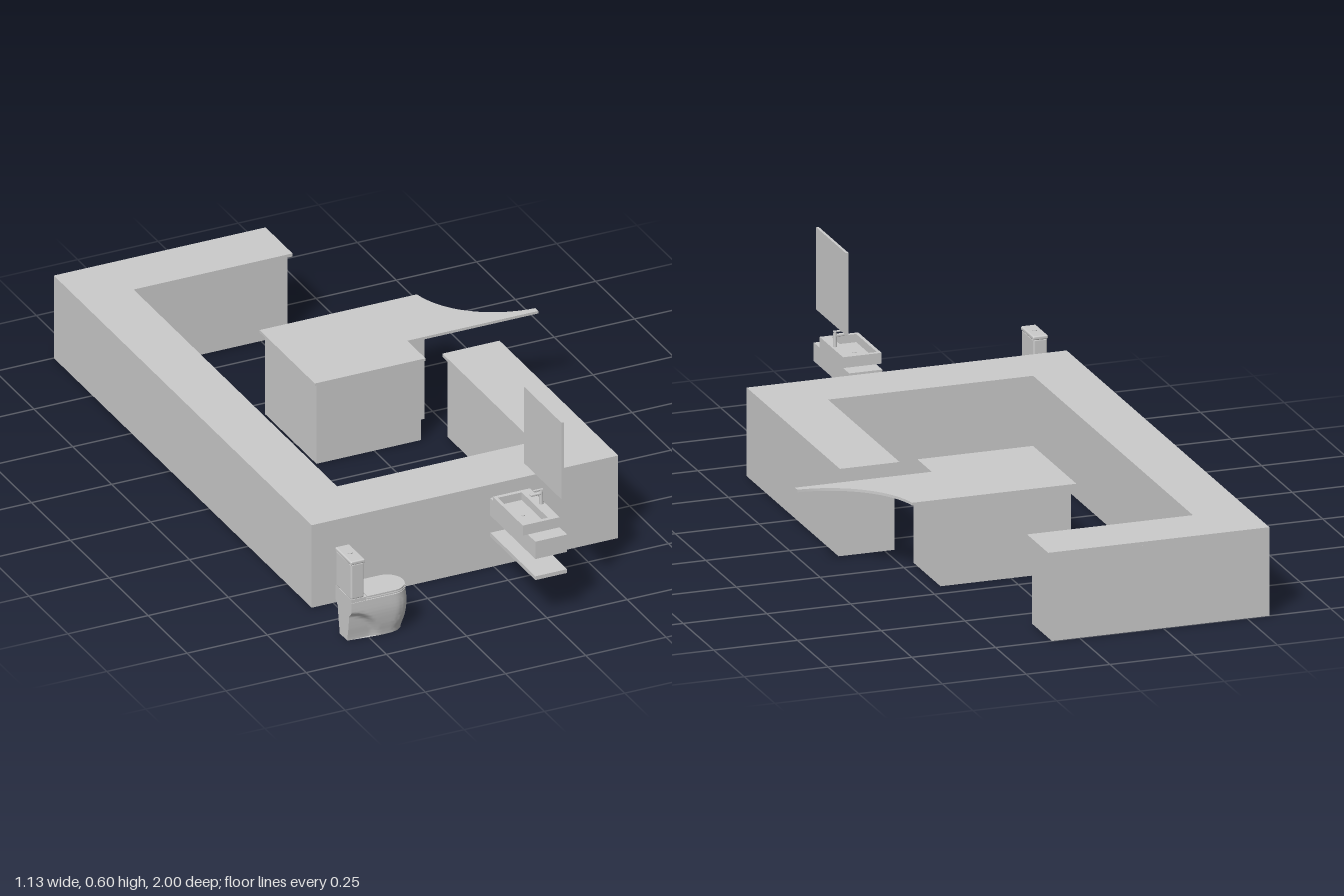
import * as THREE from 'three';
import { RoundedBoxGeometry } from 'three/addons/geometries/RoundedBoxGeometry.js';
import { toCreasedNormals } from 'three/addons/utils/BufferGeometryUtils.js';

const grey = new THREE.MeshStandardMaterial({ color: 0xcccccc, side: THREE.DoubleSide });

function add(parent, name, geometry) {
  const mesh = new THREE.Mesh(geometry, grey);
  mesh.name = name;
  parent.add(mesh);
  return mesh;
}

// Box from its minimum and maximum corners, optionally rounded
function box(parent, name, [x0, y0, z0], [x1, y1, z1], radius = 0) {
  const size = [x1 - x0, y1 - y0, z1 - z0];
  const geo = radius ? new RoundedBoxGeometry(...size, 4, radius) : new THREE.BoxGeometry(...size);
  return add(parent, name, geo.translate((x0 + x1) / 2, (y0 + y1) / 2, (z0 + z1) / 2));
}

// Plan outline drawn in (x, z), extruded upwards from y0 to y1
function slab(parent, name, shape, y0, y1) {
  const geo = new THREE.ExtrudeGeometry(shape, { depth: y1 - y0, bevelEnabled: false, curveSegments: 20 });
  geo.rotateX(-Math.PI / 2).translate(0, y0, 0);
  return add(parent, name, toCreasedNormals(geo, 0.5));
}

// Shape from [x, z] points; z is negated so that the extrusion rises along +y
const plan = (points) => new THREE.Shape(points.map(([x, z]) => new THREE.Vector2(x, -z)));

function rectangle(Type, x0, x1, z0, z1) {
  const r = new Type();
  r.moveTo(x0, -z0).lineTo(x0, -z1).lineTo(x1, -z1).lineTo(x1, -z0).closePath();
  return r;
}

// Wrap-around counter; i is the inset of the inner edges and free ends
const counterPlan = (i) => plan([
  [-0.567, -1], [0.093 - i, -1], [0.093 - i, -0.827 - i], [-0.402 - i, -0.827 - i],
  [-0.402 - i, 0.48 + i], [0.21 + i, 0.48 + i], [0.21 + i, -0.105 + i],
  [0.388, -0.105 + i], [0.388, 0.658], [-0.567, 0.658],
]);

function createCounter() {
  const g = new THREE.Group();
  g.name = 'counter';
  slab(g, 'counterBase', counterPlan(0.011), 0, 0.252);
  slab(g, 'counterTop', counterPlan(0), 0.252, 0.262);
  return g;
}

function createIsland() {
  const g = new THREE.Group();
  g.name = 'island';
  slab(g, 'islandBase', plan([
    [-0.18, -0.44], [0.21, -0.44], [0.21, -0.22], [0.145, -0.22], [0.145, -0.11], [-0.18, -0.11],
  ]), 0, 0.254);
  // Top with a concave sweep running out to a thin tip
  const top = new THREE.Shape();
  top.moveTo(-0.19, 0.455).lineTo(-0.19, 0.1).lineTo(0.155, 0.1).lineTo(0.155, 0.217)
    .lineTo(0.563, 0.217).lineTo(0.563, 0.236);
  top.bezierCurveTo(0.43, 0.243, 0.32, 0.33, 0.3, 0.455);
  top.closePath();
  slab(g, 'islandTop', top, 0.254, 0.262);
  return g;
}

// D-shaped outline: straight sides from the back, half-round front
function dShape(back, front, half) {
  const s = new THREE.Shape();
  s.moveTo(back, -half).lineTo(front - half, -half);
  s.absarc(front - half, 0, half, -Math.PI / 2, Math.PI / 2, false);
  s.lineTo(back, half).closePath();
  return s;
}

// Lofted pan, with the sides scooped in at the lower back
function panGeometry() {
  const rows = 24, sides = 12, arc = 20, positions = [], index = [];
  const frontCurve = new THREE.SplineCurve([[0, -0.388], [0.05, -0.376], [0.1, -0.372], [0.13, -0.376]]
    .map((p) => new THREE.Vector2(...p)));
  const halfCurve = new THREE.SplineCurve([[0, 0.034], [0.04, 0.044], [0.09, 0.051], [0.13, 0.052]]
    .map((p) => new THREE.Vector2(...p)));
  const n = 2 * sides + arc + 1;
  for (let r = 0; r <= rows; r++) {
    const t = r / rows, y = 0.13 * t;
    const front = frontCurve.getPoint(t).y, half = halfCurve.getPoint(t).y;
    const centre = front - 0.052, back = -0.563;
    const point = (x, z) => {
      const d = Math.hypot((x + 0.565) / 0.095, y / 0.1);
      const scoop = THREE.MathUtils.smoothstep(d, 0.8, 1);
      positions.push(x, y, z * (0.72 + 0.28 * scoop));
    };
    for (let i = 0; i < sides; i++) point(back + (centre - back) * i / sides, half);
    for (let i = 0; i <= arc; i++) {
      const a = Math.PI * i / arc;
      point(centre + 0.052 * Math.sin(a), half * Math.cos(a));
    }
    for (let i = sides - 1; i >= 0; i--) point(back + (centre - back) * i / sides, -half);
  }
  for (let r = 0; r < rows; r++) for (let i = 0; i < n; i++) {
    const a = r * n + i, b = r * n + (i + 1) % n;
    index.push(a, a + n, b, b, a + n, b + n);
  }
  // End caps
  for (let i = 1; i < n - 1; i++) {
    const t = rows * n;
    index.push(0, i, i + 1, t, t + i + 1, t + i);
  }
  const geo = new THREE.BufferGeometry();
  geo.setAttribute('position', new THREE.Float32BufferAttribute(positions, 3));
  geo.setIndex(index);
  return toCreasedNormals(geo, 0.7);
}

function createToilet() {
  const g = new THREE.Group();
  g.name = 'toilet';
  add(g, 'pan', panGeometry());
  slab(g, 'seat', dShape(-0.512, -0.376, 0.05), 0.131, 0.135);
  slab(g, 'lid', dShape(-0.512, -0.378, 0.049), 0.136, 0.141);
  box(g, 'rearDeck', [-0.563, 0.128, -0.05], [-0.515, 0.141, 0.05]);
  box(g, 'cistern', [-0.563, 0.14, -0.049], [-0.522, 0.252, 0.049], 0.005);
  box(g, 'cisternLid', [-0.565, 0.25, -0.051], [-0.52, 0.262, 0.051], 0.004);
  add(g, 'flushButton', new THREE.CylinderGeometry(0.007, 0.007, 0.003, 20).translate(-0.543, 0.263, 0));
  g.position.z = 0.854;
  return g;
}

function createWashstand() {
  const g = new THREE.Group();
  g.name = 'washstand';
  box(g, 'cabinet', [-0.036, 0.195, 0.71], [0.063, 0.25, 1]);
  box(g, 'shelf', [-0.036, 0.128, 0.71], [0.063, 0.14, 1]);
  box(g, 'mirror', [0.055, 0.354, 0.738], [0.063, 0.597, 0.98]);
  // Basin walls around a sunken floor
  const rim = rectangle(THREE.Shape, -0.052, 0.063, 0.76, 0.952);
  rim.holes.push(rectangle(THREE.Path, -0.042, 0.032, 0.772, 0.94));
  slab(g, 'basinWalls', rim, 0.25, 0.282);
  box(g, 'basinFloor', [-0.044, 0.25, 0.77], [0.034, 0.258, 0.942]);
  add(g, 'drain', new THREE.CylinderGeometry(0.006, 0.006, 0.002, 20).translate(-0.005, 0.259, 0.856));
  // Tap with flat spout and lever
  const tap = new THREE.Group();
  tap.name = 'tap';
  add(tap, 'tapPost', new THREE.CylinderGeometry(0.005, 0.006, 0.04, 20).translate(0.052, 0.302, 0.856));
  box(tap, 'tapSpout', [0.018, 0.312, 0.851], [0.053, 0.319, 0.861], 0.002);
  box(tap, 'tapLever', [0.028, 0.325, 0.853], [0.057, 0.329, 0.859], 0.001);
  add(tap, 'tapCap', new THREE.CylinderGeometry(0.004, 0.004, 0.006, 20).translate(0.052, 0.324, 0.856));
  g.add(tap);
  return g;
}

export function createModel() {
  const model = new THREE.Group();
  model.name = 'kitchenAndBathFittings';
  model.add(createCounter(), createIsland(), createToilet(), createWashstand());
  return model;
}
